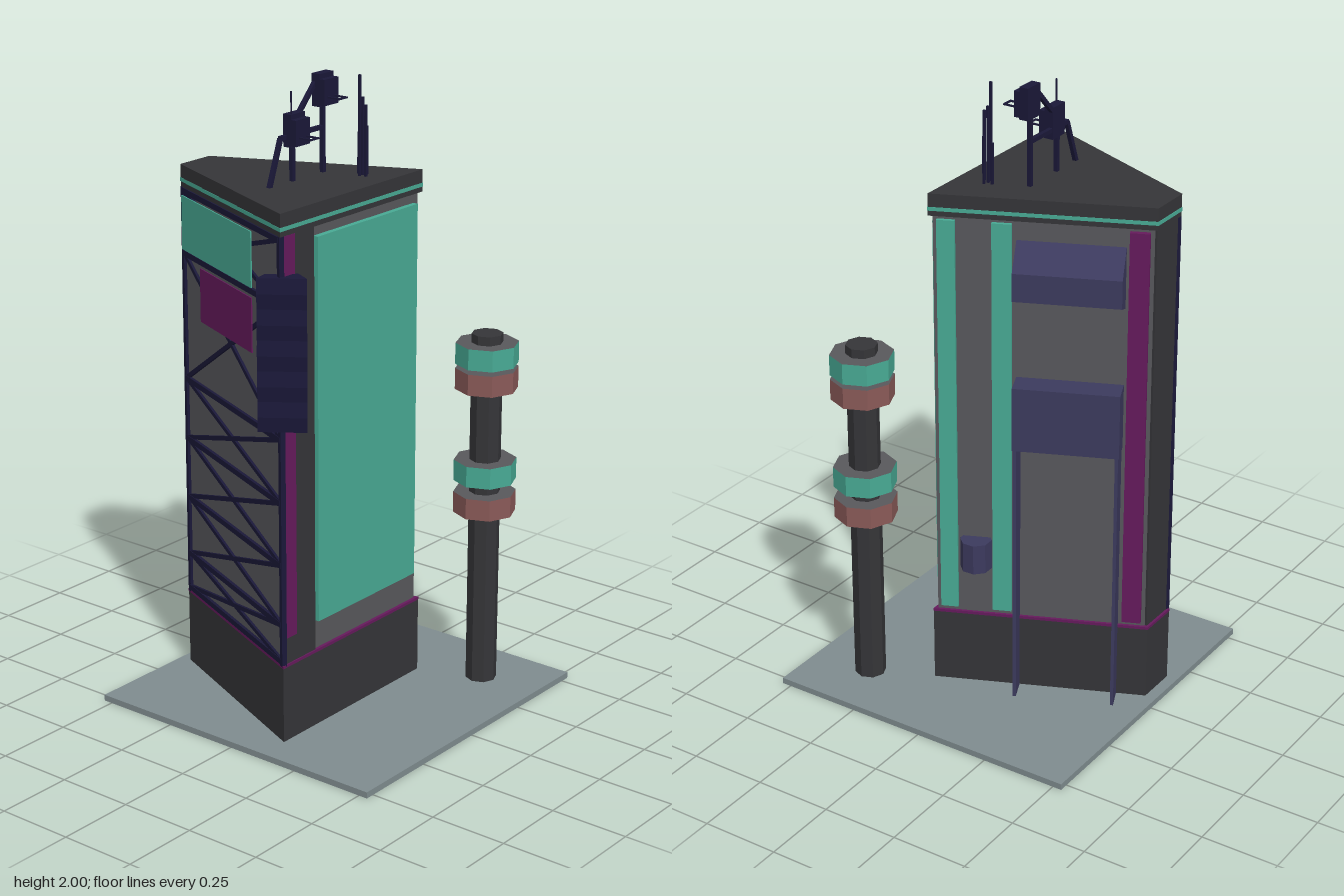
import * as THREE from 'three';

const mat = (color) => new THREE.MeshStandardMaterial({ color, flatShading: true });
const C = {
  ground: mat(0x7f8c8f), wall: mat(0x58585c), dark: mat(0x353538), teal: mat(0x48aa94),
  purple: mat(0x651a5c), navy: mat(0x1a1838), slate: mat(0x3c3a5e), red: mat(0x8a5a58),
};

// Wedge-shaped floor plan, as [x, z]
const A = [0.13, -0.25], B = [0.13, 0.43], L = [-0.493, 0.16], K = [-0.493, 0.025];
const MID = [-0.12, 0.1];

function add(parent, name, geometry, material, x = 0, y = 0, z = 0) {
  const mesh = new THREE.Mesh(geometry, material);
  mesh.name = name;
  mesh.position.set(x, y, z);
  parent.add(mesh);
  return mesh;
}

// Box given by its limits
function block(parent, name, material, x0, x1, y0, y1, z0, z1) {
  return add(parent, name, new THREE.BoxGeometry(x1 - x0, y1 - y0, z1 - z0), material,
    (x0 + x1) / 2, (y0 + y1) / 2, (z0 + z1) / 2);
}

// Square bar between two points of the parent's space
const UP = new THREE.Vector3(0, 1, 0);
function bar(parent, name, material, from, to, width) {
  const a = new THREE.Vector3(...from), b = new THREE.Vector3(...to);
  const mesh = add(parent, name, new THREE.BoxGeometry(width, a.distanceTo(b), width), material);
  mesh.position.copy(a).lerp(b, 0.5);
  mesh.quaternion.setFromUnitVectors(UP, b.sub(a).normalize());
  return mesh;
}

// Horizontal slice of the tower, scaled about its middle
function storey(parent, name, material, y0, y1, scale) {
  const shape = new THREE.Shape([A, B, L, K].map(([x, z]) => new THREE.Vector2(
    MID[0] + (x - MID[0]) * scale, -(MID[1] + (z - MID[1]) * scale))));
  const geo = new THREE.ExtrudeGeometry(shape, { depth: y1 - y0, bevelEnabled: false });
  geo.rotateX(-Math.PI / 2);
  return add(parent, name, geo, material, 0, y0, 0);
}

// Group whose x runs along a wall and whose z points out of it
function wallFrame(parent, name, p, q) {
  const g = new THREE.Group();
  g.name = name;
  g.position.set(p[0], 0, p[1]);
  g.rotation.y = Math.atan2(p[1] - q[1], q[0] - p[0]);
  parent.add(g);
  return { g, len: Math.hypot(q[0] - p[0], q[1] - p[1]) };
}

// Side profile of [out, y] points, extruded along the wall
function wallProfile(parent, name, material, points, u0, u1) {
  const shape = new THREE.Shape(points.map((p) => new THREE.Vector2(...p)));
  const geo = new THREE.ExtrudeGeometry(shape, { depth: u1 - u0, bevelEnabled: false });
  geo.rotateY(-Math.PI / 2);
  return add(parent, name, geo, material, u1, 0, 0);
}

function buildFrontWall(root) {
  const { g, len } = wallFrame(root, 'frontWall', L, B);
  const levels = [0.285, 0.405, 0.6, 0.8, 1.0, 1.41, 1.61];
  const u0 = 0.01, u1 = len - 0.011, z = -0.006;
  for (const u of [u0, u1]) bar(g, 'trussPost', C.navy, [u, 0.27, z], [u, 1.62, z], 0.016);
  levels.forEach((y, i) => {
    bar(g, 'trussBeam', C.navy, [u0, y, z], [u1, y, z], 0.018);
    if (i === 0) return;
    bar(g, 'trussBrace', C.navy, [u0, levels[i - 1], z], [u1, y, z], 0.014);
    bar(g, 'trussBrace', C.navy, [u0, y, z], [u1, levels[i - 1], z], 0.014);
  });
  block(g, 'upperBillboard', C.teal, 0.038, 0.519, 1.43, 1.602, 0.013, 0.017);
  block(g, 'lowerBillboard', C.purple, 0.165, 0.519, 1.23, 1.4, 0.013, 0.017);
}

function buildRightWall(root) {
  const { g } = wallFrame(root, 'sideWall', B, A);
  block(g, 'cornerPanel', C.dark, 0.014, 0.158, 0.27, 1.62, -0.02, -0.003);
  block(g, 'cornerStrip', C.purple, 0.012, 0.065, 0.36, 1.62, -0.02, 0.001);
  block(g, 'largeScreen', C.teal, 0.16, 0.645, 0.37, 1.59, -0.02, 0.009);
}

function buildBackWall(root) {
  const { g } = wallFrame(root, 'backWall', A, K);
  for (const [u, w, m] of [[0.025, 0.055, C.teal], [0.19, 0.06, C.teal], [0.6, 0.06, C.purple]])
    block(g, 'wallStrip', m, u, u + w, 0.29, 1.61, -0.02, m === C.purple ? 0.008 : 0.004);
  // Wedge-shaped hoods
  wallProfile(g, 'upperHood', C.slate,
    [[-0.01, 1.36], [0.075, 1.395], [0.075, 1.485], [-0.01, 1.56]], 0.263, 0.59);
  wallProfile(g, 'lowerHood', C.slate,
    [[-0.01, 0.9], [0.075, 0.9], [0.075, 1.11], [-0.01, 1.11]], 0.263, 0.59);
  // Fins that carry the lower hood
  for (const u of [0.266, 0.577]) block(g, 'hoodFin', C.slate, u, u + 0.01, 0.02, 0.9, -0.01, 0.073);
  add(g, 'wallUnit', new THREE.CylinderGeometry(0.05, 0.05, 0.1, 8), C.slate, 0.139, 0.495, 0.008);
}

// Hanging sign wrapped on the front corner, with a pleated back
function buildCornerSign(root) {
  const geo = new THREE.BoxGeometry(1, 1, 1, 1, 10, 1);
  const pos = geo.attributes.position;
  for (let i = 0; i < pos.count; i++) {
    const right = pos.getX(i) > 0, out = pos.getZ(i) > 0;
    const row = Math.round((pos.getY(i) + 0.5) * 10);
    const pleat = row % 2 === 0 ? 1 : 0;
    const [x, z] = out ? (right ? [0.2, 0.395] : [0.08, 0.48]) : (right ? [0.13, 0.345] : [0.055, 0.41]);
    const inset = pleat * (out ? -0.006 : 0.022);
    pos.setXYZ(i, x + inset * 0.58, 1.03 + row * 0.047, z + inset * 0.82);
  }
  geo.computeVertexNormals();
  add(root, 'cornerSign', geo, C.navy);
}

function buildRoofGear(root) {
  const g = new THREE.Group();
  g.name = 'roofAntennas';
  root.add(g);
  const x = -0.088;
  // Bent support frame
  bar(g, 'framePost', C.navy, [x, 1.68, -0.035], [x, 1.96, -0.035], 0.013);
  bar(g, 'framePost', C.navy, [x, 1.68, 0.11], [x, 1.86, 0.11], 0.013);
  bar(g, 'frameLeg', C.navy, [x, 1.68, 0.22], [x, 1.83, 0.165], 0.013);
  bar(g, 'frameRail', C.navy, [x, 1.83, 0.168], [x, 1.83, -0.038], 0.013);
  bar(g, 'frameBrace', C.navy, [x, 1.87, 0.1], [x, 1.985, -0.01], 0.013);
  // Panel antennas with a wire feed loop
  for (const [y, z] of [[1.95, -0.025], [1.85, 0.11]]) {
    block(g, 'antennaPanel', C.navy, -0.095, -0.065, y - 0.05, y + 0.05, z - 0.033, z + 0.033);
    block(g, 'antennaFace', C.navy, -0.066, -0.046, y - 0.045, y + 0.035, z - 0.033, z + 0.033);
    const yf = y - 0.02;
    for (const s of [-0.017, 0.017]) bar(g, 'feedArm', C.navy, [-0.05, yf, z + s], [-0.002, yf, z + s], 0.005);
    bar(g, 'feedEnd', C.navy, [-0.002, yf, z - 0.02], [-0.002, yf, z + 0.02], 0.005);
  }
  bar(g, 'whip', C.navy, [-0.07, 1.88, 0.135], [-0.07, 1.97, 0.135], 0.004);
  // Cluster of masts
  for (const [mx, mz, top] of [[0.03, -0.065, 2.0], [0.035, -0.095, 1.84], [0.012, -0.085, 1.82],
    [0.05, -0.07, 1.91], [0.03, -0.08, 1.93]])
    bar(g, 'mast', C.navy, [mx, 1.68, mz], [mx, top, mz], 0.007);
}

function buildPole(root) {
  const g = new THREE.Group();
  g.name = 'signalPole';
  g.position.set(0.325, 0, -0.333);
  root.add(g);
  add(g, 'poleShaft', new THREE.CylinderGeometry(0.05, 0.05, 1.165, 8), C.dark, 0, 0.6025, 0);
  // Coloured rims with grey upper faces
  for (const [y, m] of [[1.122, C.teal], [1.04, C.red], [0.737, C.teal], [0.63, C.red]])
    add(g, 'poleRing', new THREE.CylinderGeometry(0.1, 0.1, 0.068, 8), [m, C.wall, m], 0, y, 0);
}

export function createModel() {
  const root = new THREE.Group();
  root.name = 'wedgeTower';
  block(root, 'ground', C.ground, -0.53, 0.53, 0, 0.02, -0.53, 0.53);
  storey(root, 'plinth', C.dark, 0.02, 0.265, 1);
  storey(root, 'plinthTrim', C.purple, 0.265, 0.274, 1.005);
  storey(root, 'towerBody', C.wall, 0.274, 1.62, 0.965);
  storey(root, 'lowerCornice', C.dark, 1.62, 1.636, 1);
  storey(root, 'corniceTrim', C.teal, 1.636, 1.648, 1.005);
  storey(root, 'roofSlab', C.dark, 1.648, 1.69, 1);
  // Plain narrow end of the wedge
  block(root, 'narrowEnd', C.dark, -0.487, -0.475, 0.274, 1.62, 0.032, 0.153);
  buildFrontWall(root);
  buildRightWall(root);
  buildBackWall(root);
  buildCornerSign(root);
  buildRoofGear(root);
  buildPole(root);
  return root;
}
